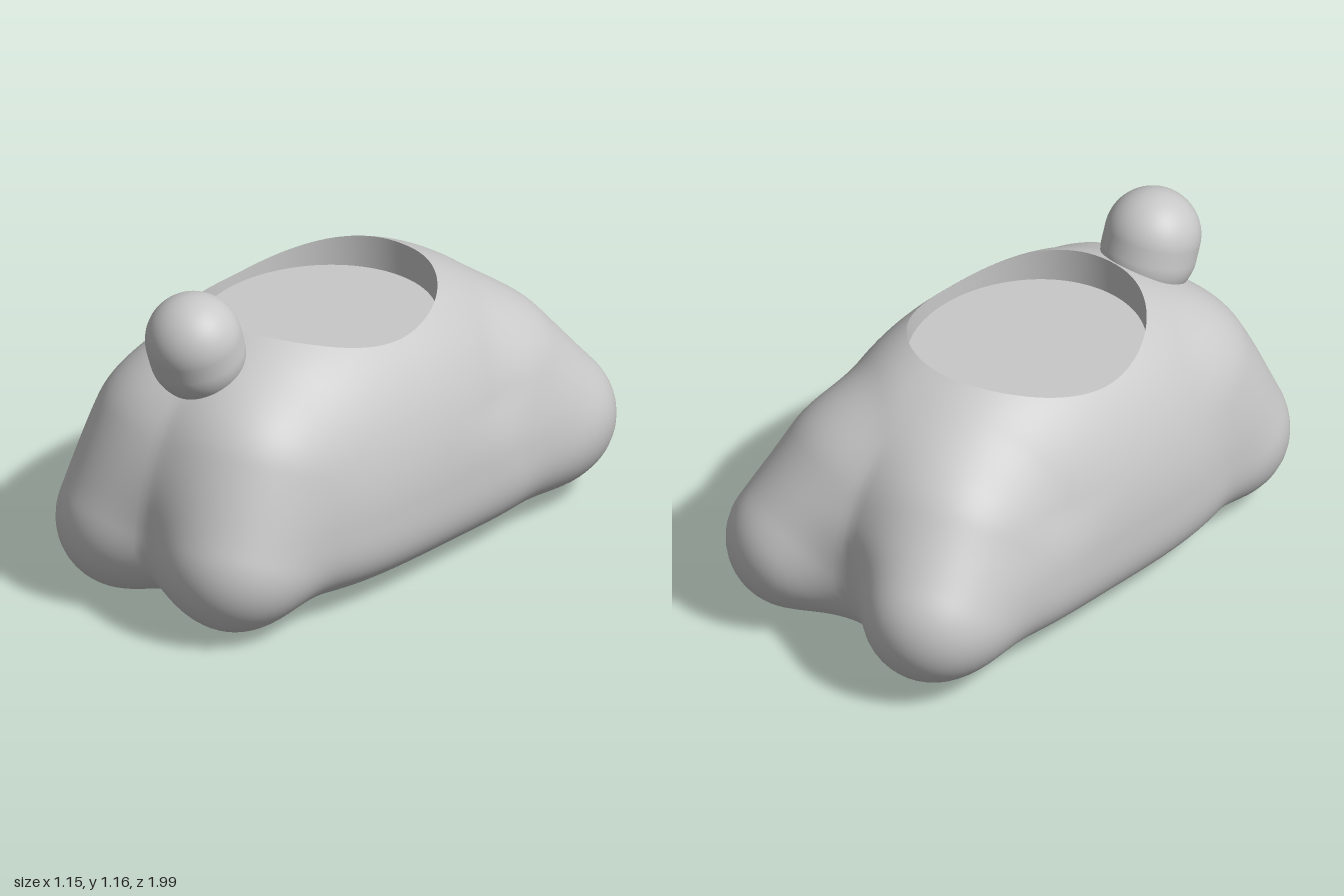
import * as THREE from 'three';

const SEG = 180, ROWS = 110;
const POCKET = { x: -0.01, z: 0.042, rx: 0.388, rz: 0.437, floor: 0.835 };
const CENTRE = new THREE.Vector3(POCKET.x, 0.4, POCKET.z);

// Distance to a rounded limb running from a to b
function limb(p, a, b, r) {
  const d = [0, 1, 2].map((i) => b[i] - a[i]);
  const q = [p.x - a[0], p.y - a[1], p.z - a[2]];
  const t = THREE.MathUtils.clamp(
    (q[0] * d[0] + q[1] * d[1] + q[2] * d[2]) / (d[0] ** 2 + d[1] ** 2 + d[2] ** 2), 0, 1);
  return Math.hypot(q[0] - d[0] * t, q[1] - d[1] * t, q[2] - d[2] * t) - r;
}

// Blend two distances softly
function blend(a, b, k) {
  const h = Math.max(k - Math.abs(a - b), 0);
  return Math.min(a, b) - (h * h) / (4 * k);
}

// Plump trunk: domed above, flatter below, squarer towards the back
function trunk(p) {
  const up = p.y > 0.38;
  const low = 1 - THREE.MathUtils.smoothstep(p.y, 0.2, 0.6);
  const vertical = up ? ((p.y - 0.38) / 0.655) ** 2 : ((0.38 - p.y) / 0.38) ** 3.5;
  const along = p.z > 0
    ? (p.z / 0.92) ** (2.55 + 0.4 * low)
    : (-p.z / 0.84) ** (2.05 + 2.95 * low);
  const s = (Math.abs(p.x) / 0.574) ** 2.3 + vertical + along;
  return (s ** (1 / 2.4) - 1) * 0.55;
}

// Whole skin: trunk with four feet melted in
function skin(p) {
  const m = { x: Math.abs(p.x), y: p.y, z: p.z };
  let d = trunk(p);
  d = blend(d, limb(m, [0.25, 0.26, 0.745], [0.2, 0.55, 0.59], 0.245), 0.13);
  d = blend(d, limb(m, [0.32, 0.295, -0.75], [0.25, 0.49, -0.56], 0.247), 0.16);
  return d;
}

// Point where a ray leaves the skin
function hit(origin, dir) {
  let lo = 0, hi = 1.5;
  const p = new THREE.Vector3();
  for (let i = 0; i < 32; i++) {
    const mid = (lo + hi) / 2;
    p.copy(origin).addScaledVector(dir, mid);
    if (skin(p) < 0) lo = mid; else hi = mid;
  }
  return p;
}

// Surface from closed rings of points
function loft(rings) {
  const n = rings[0].length, index = [];
  for (let j = 0; j < rings.length - 1; j++) {
    for (let i = 0; i < n; i++) {
      const a = j * n + i, b = j * n + (i + 1) % n;
      index.push(a, b, a + n, b, b + n, a + n);
    }
  }
  const geo = new THREE.BufferGeometry().setFromPoints(rings.flat());
  geo.setIndex(index);
  geo.computeVertexNormals();
  return geo;
}

export function createModel() {
  const group = new THREE.Group();
  const grey = new THREE.MeshStandardMaterial({ color: 0xc8c8c8 });
  grey.name = 'grey';
  const add = (name, geo) => {
    const mesh = new THREE.Mesh(geo, grey);
    mesh.name = name;
    group.add(mesh);
    return mesh;
  };

  // Pocket rim, where the upright oval meets the skin
  const up = new THREE.Vector3(0, 1, 0);
  const rim = [], base = [];
  for (let i = 0; i < SEG; i++) {
    const u = (i / SEG) * Math.PI * 2;
    const x = POCKET.x + POCKET.rx * Math.cos(u), z = POCKET.z + POCKET.rz * Math.sin(u);
    rim.push(hit(new THREE.Vector3(x, 0.4, z), up));
    base.push(new THREE.Vector3(x, POCKET.floor, z));
  }

  // Body skin sweeps from the rim down to the belly
  const rings = [];
  for (let j = 0; j <= ROWS; j++) {
    rings.push(rim.map((r) => {
      const d = r.clone().sub(CENTRE);
      const u = Math.atan2(d.z, d.x);
      const start = Math.atan2(Math.hypot(d.x, d.z), d.y);
      const p = THREE.MathUtils.lerp(start, Math.PI, j / ROWS);
      return hit(CENTRE, new THREE.Vector3(
        Math.sin(p) * Math.cos(u), Math.cos(p), Math.sin(p) * Math.sin(u)));
    }));
  }
  add('body', loft(rings));

  // Pocket wall and floor
  add('pocketWall', loft([base, rim]));
  const floor = new THREE.CircleGeometry(1, SEG);
  floor.scale(POCKET.rx, POCKET.rz, 1);
  floor.rotateX(-Math.PI / 2);
  add('pocketFloor', floor).position.set(POCKET.x, POCKET.floor, POCKET.z);

  // Stubby head leaning forward
  const head = add('head', new THREE.CapsuleGeometry(0.167, 0.06, 24, 64));
  head.position.set(-0.01, 0.966, 0.662);
  head.rotation.x = 0.32;

  return group;
}
